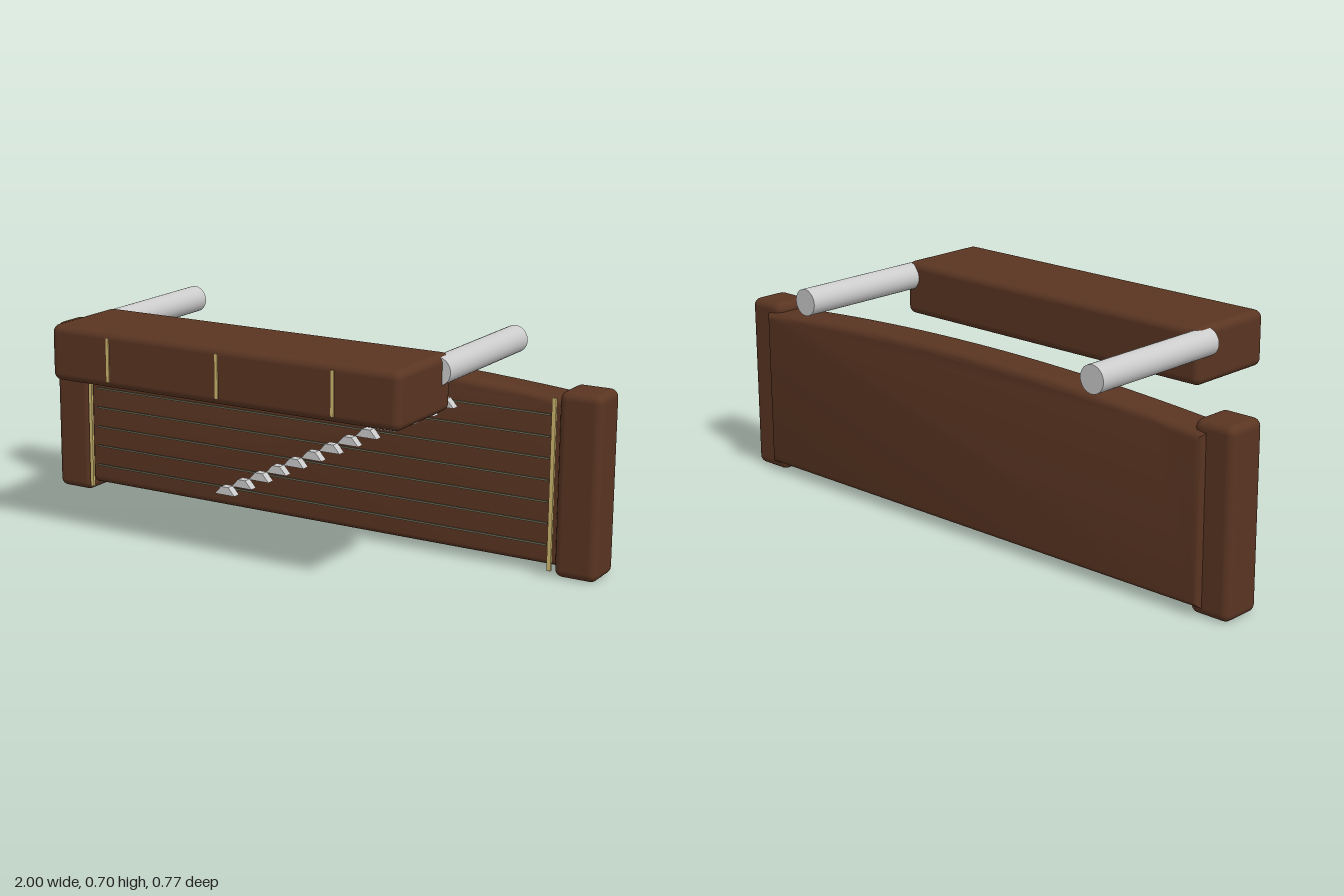
import * as THREE from 'three';
import { RoundedBoxGeometry } from 'three/addons/geometries/RoundedBoxGeometry.js';
import { toCreasedNormals } from 'three/addons/utils/BufferGeometryUtils.js';

export function createModel() {
  const group = new THREE.Group();
  const material = (name, color) => {
    const m = new THREE.MeshStandardMaterial({ color });
    m.name = name;
    return m;
  };
  const wood = material('wood', 0x5a3522);
  const silver = material('silver', 0xcccccc);
  const gold = material('gold', 0xd0b870);
  const lineGreen = material('dullGreen', 0x7d8066);

  const add = (name, geometry, mat, x, y, z) => {
    const mesh = new THREE.Mesh(geometry, mat);
    mesh.name = name;
    mesh.position.set(x, y, z);
    group.add(mesh);
    return mesh;
  };

  // Main board with a gently arched top and rounded edges
  const bevel = 0.025;
  const board = new THREE.Shape();
  const half = 0.91 - bevel, bottom = 0.025 + bevel;
  board.moveTo(-half, bottom);
  board.lineTo(half, bottom);
  const steps = 24;
  for (let i = 0; i <= steps; i++) {
    const x = half * (1 - (2 * i) / steps);
    board.lineTo(x, 0.585 - bevel - 0.042 * (x / 0.9) ** 2);
  }
  const boardGeometry = new THREE.ExtrudeGeometry(board, {
    depth: 0.133 - 2 * bevel, bevelEnabled: true,
    bevelThickness: bevel, bevelSize: bevel, bevelSegments: 5,
  });
  add('board', toCreasedNormals(boardGeometry, 0.6), wood, 0, 0, -0.288 + bevel);

  // Raised front bar
  add('frontBar', new RoundedBoxGeometry(1.224, 0.176, 0.314, 5, 0.025), wood, 0, 0.616, 0.227);

  // Gold inlays on the bar
  for (const x of [-0.395, 0, 0.395]) {
    add('barInlay', new THREE.BoxGeometry(0.01, 0.137, 0.006), gold, x, 0.616, 0.384);
  }

  for (const side of [-1, 1]) {
    // End posts
    add('endPost', new RoundedBoxGeometry(0.138, 0.575, 0.138, 5, 0.025), wood, side * 0.931, 0.2875, -0.2);
    // Rods carrying the bar
    const rod = new THREE.CylinderGeometry(0.043, 0.043, 0.515, 32);
    add('rod', rod, silver, side * 0.596, 0.655, -0.1275).rotation.x = Math.PI / 2;
    // Gold strips beside the posts
    add('edgeStrip', new THREE.BoxGeometry(0.013, 0.535, 0.009), gold, side * 0.852, 0.288, -0.127);
  }

  // Thin horizontal lines
  for (let i = 0; i < 7; i++) {
    add('line', new THREE.BoxGeometry(1.67, 0.005, 0.005), lineGreen, 0, 0.096 + i * 0.0672, -0.139);
  }

  // Rising diagonal row of wedge-shaped keys
  const key = new THREE.Shape();
  key.moveTo(-0.038, 0);
  key.lineTo(0.038, 0);
  key.lineTo(0.014, 0.027);
  key.lineTo(-0.014, 0.027);
  const keyGeometry = new THREE.ExtrudeGeometry(key, { depth: 0.028, bevelEnabled: false });
  for (let i = 0; i < 13; i++) {
    add('key', keyGeometry, silver, -0.3 + i * 0.066, 0.08 + i * 0.0336, -0.135);
  }
  return group;
}
